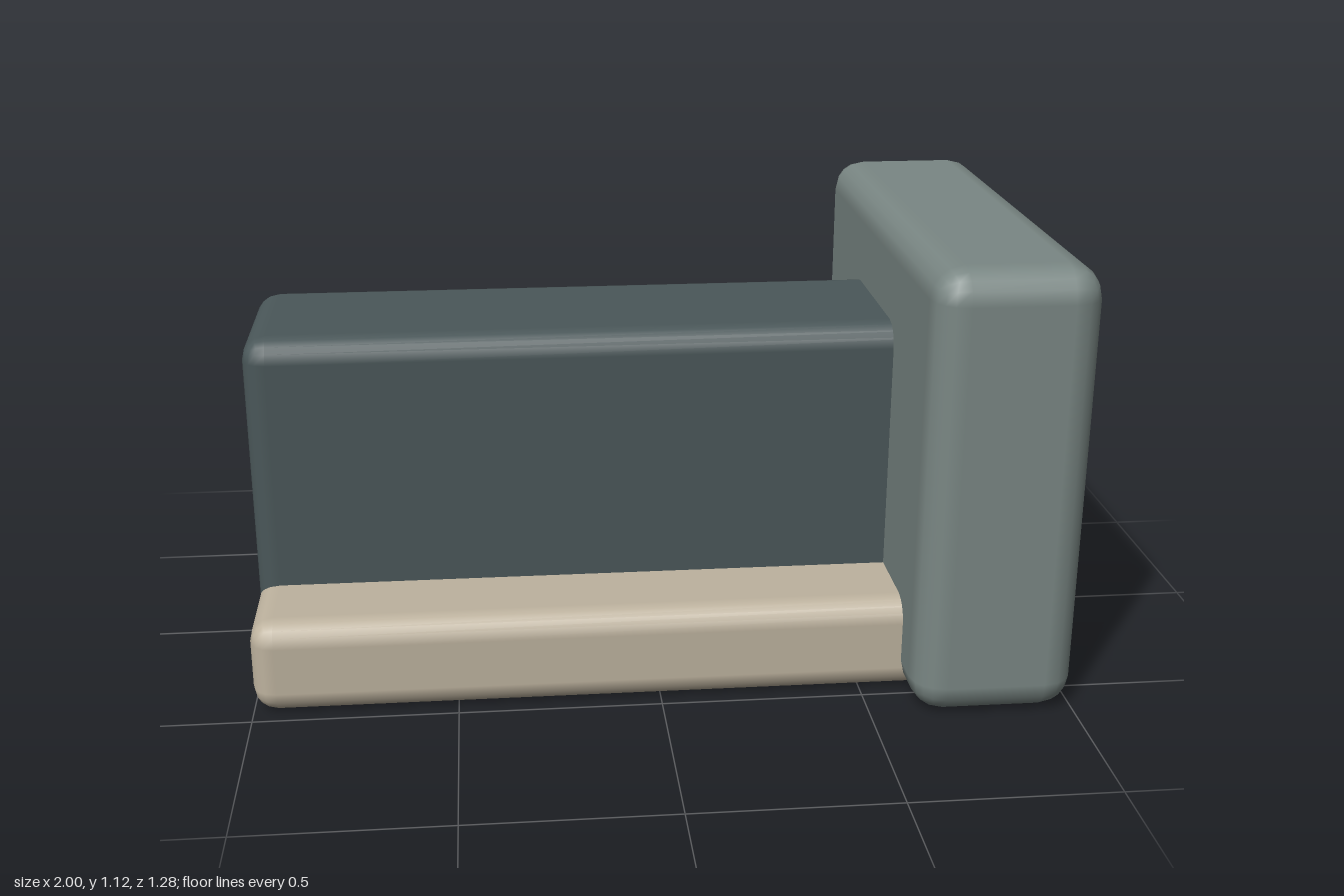
import * as THREE from 'three';
import { RoundedBoxGeometry } from 'three/addons/geometries/RoundedBoxGeometry.js';

// Softly rounded block spanning x0..x1 and y0..y1, centred on z
function block(name, [x0, x1], [y0, y1], depth, radius, color) {
  const geometry = new RoundedBoxGeometry(x1 - x0, y1 - y0, depth, 2, radius);
  const mesh = new THREE.Mesh(geometry, new THREE.MeshStandardMaterial({ color }));
  mesh.name = name;
  mesh.position.set((x0 + x1) / 2, (y0 + y1) / 2, 0);
  return mesh;
}

export function createModel() {
  const model = new THREE.Group();
  model.name = 'barrierBlock';
  model.add(
    // Wide low plinth under the full length
    block('base', [-1, 1], [0, 0.24], 0.96, 0.06, 0xbdb29e),
    // Long wall; ends set back a hair so they do not flicker against the other parts
    block('wall', [-0.999, 0.997], [0.002, 0.88], 0.48, 0.06, 0x4a5759),
    // Tall end pillar, likewise just inside the end of the plinth
    block('endPillar', [0.6, 0.999], [0.001, 1.12], 1.28, 0.08, 0x7a8784),
  );
  return model;
}
